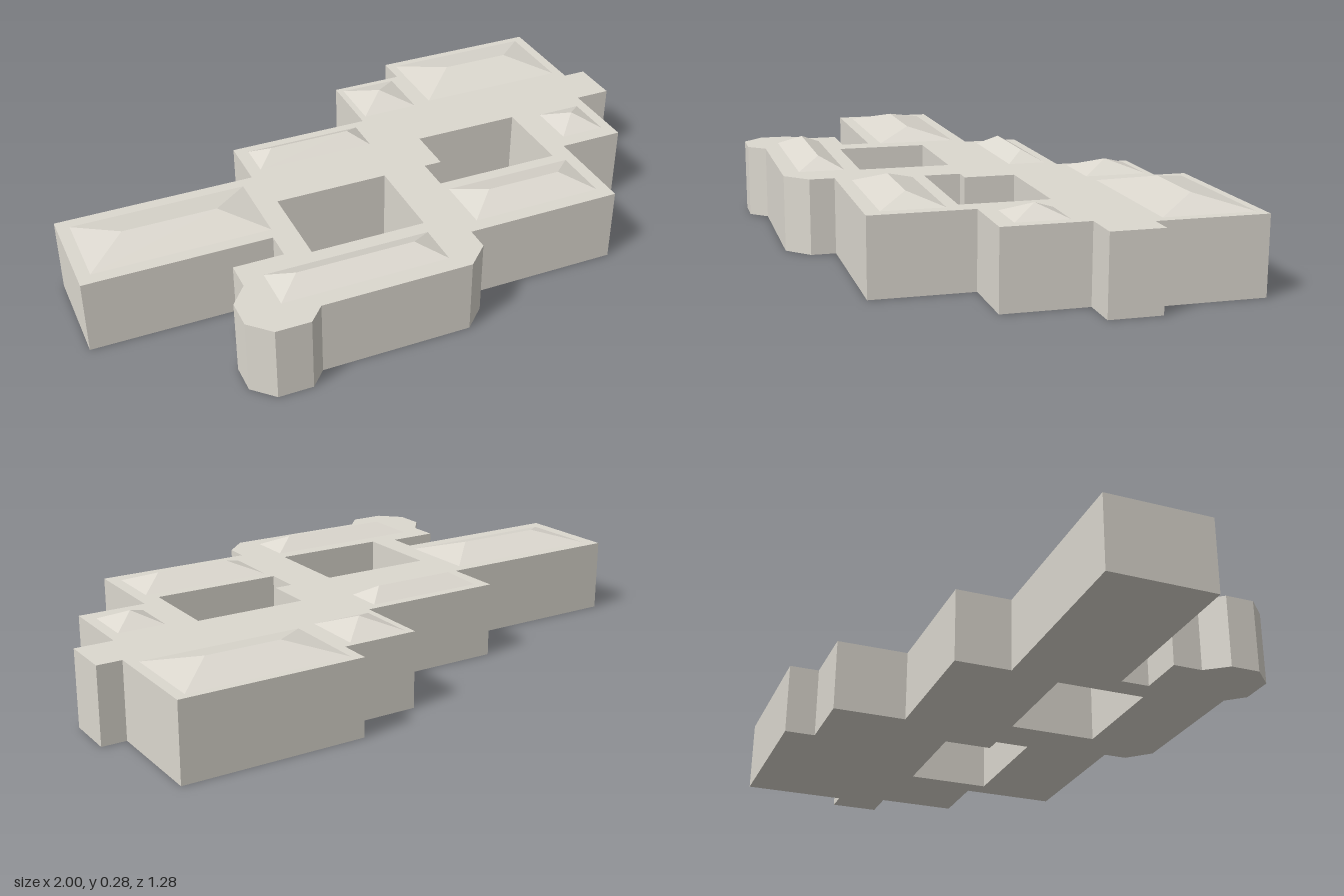
import * as THREE from 'three';

const WALL = 0.24;   // deck height
const RIDGE = 0.275; // ridge height

// Plan points are [x, z]; z is flipped so the extrusion can be laid flat.
const plan = (points) => points.map(([x, z]) => new THREE.Vector2(x, -z));

// Hipped roof over a rectangle, with a ridge along x (a pyramid when r0 = r1).
function hipRoof(x0, x1, z0, z1, r0, r1, rz) {
  const a = [x0, WALL, z0], b = [x1, WALL, z0], c = [x1, WALL, z1], d = [x0, WALL, z1];
  const p = [r0, RIDGE, rz], q = [r1, RIDGE, rz];
  const faces = [d, c, q, b, a, p, a, d, p, c, b, q];
  if (r1 > r0) faces.push(d, q, p, b, p, q);
  const geometry = new THREE.BufferGeometry();
  geometry.setAttribute('position', new THREE.Float32BufferAttribute(faces.flat(), 3));
  geometry.computeVertexNormals();
  return geometry;
}

export function createModel() {
  const model = new THREE.Group();
  model.name = 'building';
  const stone = new THREE.MeshStandardMaterial({ color: 0xdcd8cf });
  stone.name = 'pale stone';

  const add = (name, geometry) => {
    const mesh = new THREE.Mesh(geometry, stone);
    mesh.name = name;
    model.add(mesh);
  };

  // Main block: stepped wings with chamfered corners at the front left bay
  const outline = new THREE.Shape(plan([
    [-1, -0.118], [-0.357, -0.118], [-0.357, -0.3], [0.114, -0.3], [0.114, -0.54],
    [0.355, -0.54], [0.355, -0.64], [0.923, -0.64], [0.923, -0.3], [1, -0.3],
    [1, -0.14], [0.88, -0.14], [0.88, 0.122], [0.665, 0.122], [0.665, 0.437],
    [0.152, 0.437], [0.152, 0.515], [0.08, 0.585], [-0.4, 0.585], [-0.45, 0.64],
    [-0.56, 0.64], [-0.625, 0.575], [-0.625, 0.48], [-0.57, 0.41], [-0.57, 0.315],
    [-0.41, 0.315], [-0.41, 0.222], [-1, 0.222],
  ]));

  // Two open courtyards, wound opposite to the outline so their walls face inward
  outline.holes.push(
    new THREE.Path(plan([[-0.33, 0.045], [-0.33, 0.337], [0.04, 0.337], [0.04, 0.045]])),
    new THREE.Path(plan([
      [0.243, 0.045], [0.185, 0.045], [0.185, 0.16], [0.6, 0.16], [0.6, -0.115], [0.243, -0.115],
    ])),
  );
  const block = new THREE.ExtrudeGeometry(outline, { depth: WALL, bevelEnabled: false });
  block.rotateX(-Math.PI / 2);
  add('mainBlock', block);

  // Roofs: x range, z range, ridge x range, ridge z
  const roofs = {
    westWingRoof: [-0.96, -0.4, -0.08, 0.18, -0.83, -0.53, 0.055],
    backHallRoof: [-0.315, 0.075, -0.27, -0.15, -0.255, 0.015, -0.208],
    backTowerRoof: [0.135, 0.325, -0.52, -0.325, 0.23, 0.23, -0.42],
    backWingRoof: [0.385, 0.89, -0.615, -0.335, 0.525, 0.76, -0.475],
    eastTowerRoof: [0.695, 0.845, -0.09, 0.07, 0.77, 0.77, -0.01],
    frontHallRoof: [0.195, 0.625, 0.2, 0.39, 0.285, 0.535, 0.298],
    frontWingRoof: [-0.5, 0.03, 0.385, 0.53, -0.425, -0.05, 0.456],
  };
  for (const [name, size] of Object.entries(roofs)) add(name, hipRoof(...size));

  return model;
}
